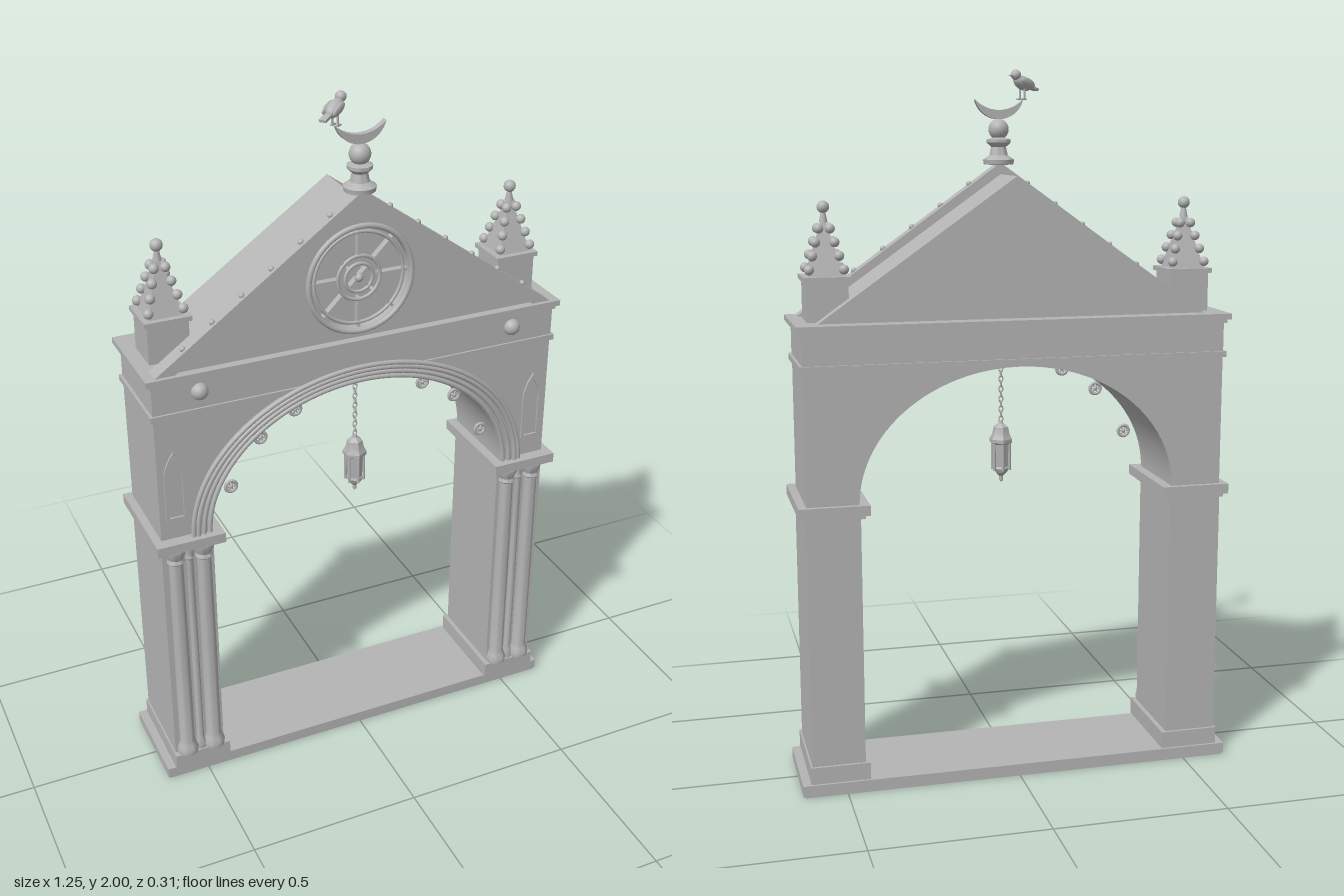
import * as THREE from 'three';
import { toCreasedNormals } from 'three/addons/utils/BufferGeometryUtils.js';

const stone = new THREE.MeshStandardMaterial({ color: 0xb4b4b4 });
stone.name = 'grey stone';

export function createModel() {
  const model = new THREE.Group();
  model.name = 'archway';

  const add = (name, geometry, x = 0, y = 0, z = 0, parent = model) => {
    const mesh = new THREE.Mesh(geometry, stone);
    mesh.name = name;
    mesh.position.set(x, y, z);
    parent.add(mesh);
    return mesh;
  };
  // box given by its limits
  const block = (name, x0, x1, y0, y1, z0, z1) =>
    add(name, new THREE.BoxGeometry(x1 - x0, y1 - y0, z1 - z0), (x0 + x1) / 2, (y0 + y1) / 2, (z0 + z1) / 2);
  // outline extruded from z0 to z1, curves kept smooth
  const slab = (name, shape, z0, z1, parent = model) => {
    const g = new THREE.ExtrudeGeometry(shape, { depth: z1 - z0, bevelEnabled: false, curveSegments: 40 });
    return add(name, toCreasedNormals(g, 0.5), 0, 0, z0, parent);
  };
  const polygon = (pts) => new THREE.Shape(pts.map((p) => new THREE.Vector2(...p)));
  const turned = (pts, sides, crease = 0.6) =>
    toCreasedNormals(new THREE.LatheGeometry(pts.map((p) => new THREE.Vector2(...p)), sides), crease);
  const ball = (r) => new THREE.SphereGeometry(r, 16, 12);
  const both = (fn) => [-1, 1].forEach(fn);
  const span = (s, a, b) => (s > 0 ? [a, b] : [-b, -a]);

  // Ground slab
  block('groundSlab', -0.626, 0.626, 0.005, 0.036, -0.155, 0.13);
  add('slabUnderside', new THREE.BoxGeometry(1.24, 0.01, 0.28), 0, 0.005, -0.0125);

  // Piers with plinths, imposts and clustered columns
  const columnProfile = [[0, 0.085], [0.03, 0.085], [0.032, 0.1], [0.026, 0.115], [0.022, 0.13], [0.022, 0.45],
    [0.02, 0.755], [0.025, 0.76], [0.021, 0.77], [0.031, 0.795], [0.031, 0.802], [0, 0.802]];
  const columnGeo = turned(columnProfile, 20);
  const slimGeo = turned(columnProfile.map(([r, y]) => [r * 0.5, y]), 12);
  both((s) => {
    block('plinth', ...span(s, 0.434, 0.602), 0.036, 0.085, -0.148, 0.14);
    block('pier', ...span(s, 0.447, 0.597), 0.085, 0.8, -0.14, 0.12);
    block('impost', ...span(s, 0.422, 0.618), 0.803, 0.832, -0.155, 0.155);
    block('imposNeck'.replace('imposNeck', 'impostNeck'), ...span(s, 0.435, 0.606), 0.793, 0.803, -0.146, 0.14);
    add('column', columnGeo, s * 0.56, 0, 0.124);
    add('column', columnGeo, s * 0.478, 0, 0.124);
    add('slimColumn', slimGeo, s * 0.519, 0, 0.122);
  });

  // Upper wall pierced by the arch
  const springY = 0.83, A = 0.45, B = 0.365;
  const wall = polygon([[-0.45, springY], [-0.595, springY], [-0.595, 1.21], [0.595, 1.21], [0.595, springY], [0.45, springY]]);
  wall.absellipse(0, springY, A, B, 0, Math.PI, false);
  slab('archWall', wall, -0.14, 0.12);

  // Arch mouldings: flat bands and round rolls
  const archBand = (d0, d1, z1) => {
    const s = new THREE.Shape();
    s.absellipse(0, springY, A + d1, B + d1 * 0.85, 0, Math.PI, false);
    s.lineTo(-A - d0, springY);
    s.absellipse(0, springY, A + d0, B + d0 * 0.85, Math.PI, 0, true);
    slab('archBand', s, 0.1, z1);
  };
  archBand(0, 0.03, 0.127);
  archBand(0.03, 0.058, 0.133);
  [[0.008, 0.128], [0.026, 0.131], [0.044, 0.135], [0.057, 0.133]].forEach(([d, z]) => {
    const pts = [];
    for (let i = 0; i <= 24; i++) {
      const t = (Math.PI * i) / 24;
      pts.push(new THREE.Vector3((A + d) * Math.cos(t), springY + (B + d * 0.85) * Math.sin(t), z));
    }
    add('archRoll', new THREE.TubeGeometry(new THREE.CatmullRomCurve3(pts), 56, 0.007, 8));
  });

  // Small wheel medallions under the arch
  both((s) => [[0.386, 0.948], [0.296, 1.08], [0.193, 1.143]].forEach(([x, y]) => {
    const wheel = new THREE.Group();
    wheel.name = 'medallion';
    wheel.position.set(s * x, y, 0.11);
    add('rim', new THREE.TorusGeometry(0.016, 0.005, 8, 20), 0, 0, 0, wheel);
    add('hub', ball(0.006), 0, 0, 0, wheel);
    for (let k = 0; k < 3; k++) {
      add('spoke', new THREE.BoxGeometry(0.032, 0.004, 0.005), 0, 0, 0, wheel).rotation.z = (k * Math.PI) / 3;
    }
    model.add(wheel);
  }));

  // Pointed blind niches on the spandrels
  both((s) => {
    const lancet = (w, y0, y1, y2) => {
      const p = new THREE.Shape();
      p.moveTo(s * 0.548 - w, y0);
      p.lineTo(s * 0.548 + w, y0);
      p.lineTo(s * 0.548 + w, y1);
      p.quadraticCurveTo(s * 0.548 + w, (y1 + y2) / 2, s * 0.548, y2);
      p.quadraticCurveTo(s * 0.548 - w, (y1 + y2) / 2, s * 0.548 - w, y1);
      return p;
    };
    const frame = lancet(0.03, 0.89, 1.02, 1.1);
    frame.holes.push(lancet(0.021, 0.899, 1.018, 1.084));
    slab('nicheFrame', frame, 0.119, 0.126);
  });

  // Entablature
  block('lowerMoulding', -0.604, 0.604, 1.2, 1.217, -0.146, 0.128);
  block('frieze', -0.596, 0.596, 1.217, 1.3, -0.14, 0.122);
  block('corniceBed', -0.603, 0.603, 1.298, 1.309, -0.148, 0.128);
  block('cornice', -0.612, 0.612, 1.309, 1.325, -0.158, 0.136);
  both((s) => add('friezeBoss', ball(0.024), s * 0.465, 1.265, 0.122));

  // Roof and front gable
  slab('roof', polygon([[-0.555, 1.32], [0.555, 1.32], [0, 1.71]]), -0.108, 0.08);
  slab('rakingCornice', polygon([[-0.588, 1.322], [-0.533, 1.322], [0, 1.703], [0.533, 1.322], [0.588, 1.322], [0, 1.742]]), 0.077, 0.124);
  const roseY = 1.492;
  const tympanum = polygon([[-0.54, 1.322], [0.54, 1.322], [0, 1.708]]);
  const opening = new THREE.Path();
  opening.absarc(0, roseY, 0.145, 0, Math.PI * 2, true);
  tympanum.holes.push(opening);
  slab('tympanum', tympanum, 0.078, 0.112);
  both((s) => {
    for (let i = 0; i < 6; i++) {
      const x = 0.085 + i * 0.083;
      add('gableStud', ball(0.008), s * x, 1.742 - x * 0.714 + 0.002, 0.107);
    }
  });

  // Rose window
  [[0.15, 0.008], [0.13, 0.005], [0.062, 0.005], [0.04, 0.005]].forEach(([r, t]) =>
    add('roseRing', new THREE.TorusGeometry(r, t, 8, 48), 0, roseY, r > 0.14 ? 0.112 : 0.1));
  for (let k = 0; k < 8; k++) {
    const a = (k * Math.PI) / 4;
    add('roseSpoke', new THREE.BoxGeometry(0.085, 0.008, 0.02), 0.1 * Math.cos(a), roseY + 0.1 * Math.sin(a), 0.092).rotation.z = a;
    if (k < 2) add('roseCross', new THREE.BoxGeometry(0.08, 0.007, 0.02), 0, roseY, 0.092).rotation.z = a + Math.PI / 4 + k * Math.PI / 4;
  }
  add('roseHub', ball(0.012), 0, roseY, 0.1);

  // Corner pinnacles with beaded edges
  both((s) => {
    const p = new THREE.Group();
    p.name = 'pinnacle';
    p.position.set(s * 0.515, 0, -0.014);
    add('pedestal', new THREE.BoxGeometry(0.114, 0.115, 0.114), 0, 1.38, 0, p);
    add('pedestalCap', new THREE.BoxGeometry(0.13, 0.013, 0.13), 0, 1.44, 0, p);
    const spire = toCreasedNormals(new THREE.ConeGeometry(0.068, 0.165, 4).rotateY(Math.PI / 4), 0.3);
    add('spire', spire, 0, 1.529, 0, p);
    for (let i = 0; i < 4; i++) {
      const y = 1.465 + i * 0.036, h = 0.047 - i * 0.0105;
      both((u) => both((v) => add('bead', ball(0.0135), u * h, y, v * h, p)));
    }
    add('spireNeck', new THREE.CylinderGeometry(0.006, 0.012, 0.03, 12), 0, 1.603, 0, p);
    add('spireBall', ball(0.017), 0, 1.63, 0, p);
    model.add(p);
  });

  // Finial with crescent
  const fz = 0.102;
  add('finialBase', turned([[0, 1.733], [0.042, 1.737], [0.044, 1.75], [0.026, 1.762], [0.021, 1.785], [0.034, 1.797],
    [0.034, 1.806], [0.015, 1.812], [0, 1.814]], 24), 0, 0, fz);
  add('finialBall', ball(0.029), 0, 1.834, fz);
  const moon = new THREE.Shape();
  moon.absarc(0, 1.933, 0.0714, Math.PI + 0.255, 2 * Math.PI - 0.255, false);
  moon.absarc(0, 1.986, 0.099, 2 * Math.PI - 0.8, Math.PI + 0.8, true);
  slab('crescent', moon, fz - 0.009, fz + 0.009);

  // Bird on the crescent's tip
  const bird = new THREE.Group();
  bird.name = 'bird';
  bird.position.set(-0.07, 1.918, fz);
  bird.rotation.y = 0.62;
  const body = add('birdBody', ball(0.02), 0, 0.043, 0, bird);
  body.scale.set(1.75, 0.95, 0.95);
  body.rotation.z = 0.35;
  add('birdHead', ball(0.0145), 0.03, 0.065, 0, bird);
  add('beak', new THREE.ConeGeometry(0.006, 0.022, 10).rotateZ(-Math.PI / 2), 0.051, 0.063, 0, bird);
  add('tail', new THREE.BoxGeometry(0.036, 0.007, 0.02), -0.042, 0.03, 0, bird).rotation.z = 0.25;
  both((s) => {
    const wing = add('wing', ball(0.016), -0.006, 0.044, s * 0.016, bird);
    wing.scale.set(1.8, 0.75, 0.4);
    wing.rotation.z = 0.3;
    add('leg', new THREE.CylinderGeometry(0.003, 0.003, 0.034, 8), 0.002, 0.014, s * 0.008, bird);
    add('foot', new THREE.BoxGeometry(0.018, 0.004, 0.007), 0.006, -0.001, s * 0.008, bird);
  });
  model.add(bird);

  // Hanging lantern
  const lantern = new THREE.Group();
  lantern.name = 'lantern';
  lantern.position.set(0, 0, 0.078);
  for (let i = 0; i < 13; i++) {
    const link = add('chainLink', new THREE.TorusGeometry(0.006, 0.0018, 6, 12), 0, 1.008 + i * 0.0148, 0, lantern);
    link.scale.y = 1.5;
    link.rotation.y = (i % 2) * Math.PI / 2;
  }
  add('lanternBody', turned([[0, 0.82], [0.006, 0.825], [0.006, 0.838], [0.018, 0.85], [0.024, 0.862], [0.021, 0.868],
    [0.026, 0.935], [0.034, 0.94], [0.034, 0.95], [0.026, 0.965], [0.022, 0.985], [0.008, 0.995], [0.006, 1.003], [0, 1.004]], 6, 0.3), 0, 0, 0, lantern);
  for (let k = 0; k < 6; k++) {
    const a = (k * Math.PI) / 3;
    add('lanternPost', new THREE.CylinderGeometry(0.004, 0.004, 0.085, 8), 0.026 * Math.sin(a), 0.9, 0.026 * Math.cos(a), lantern);
  }
  model.add(lantern);

  return model;
}
